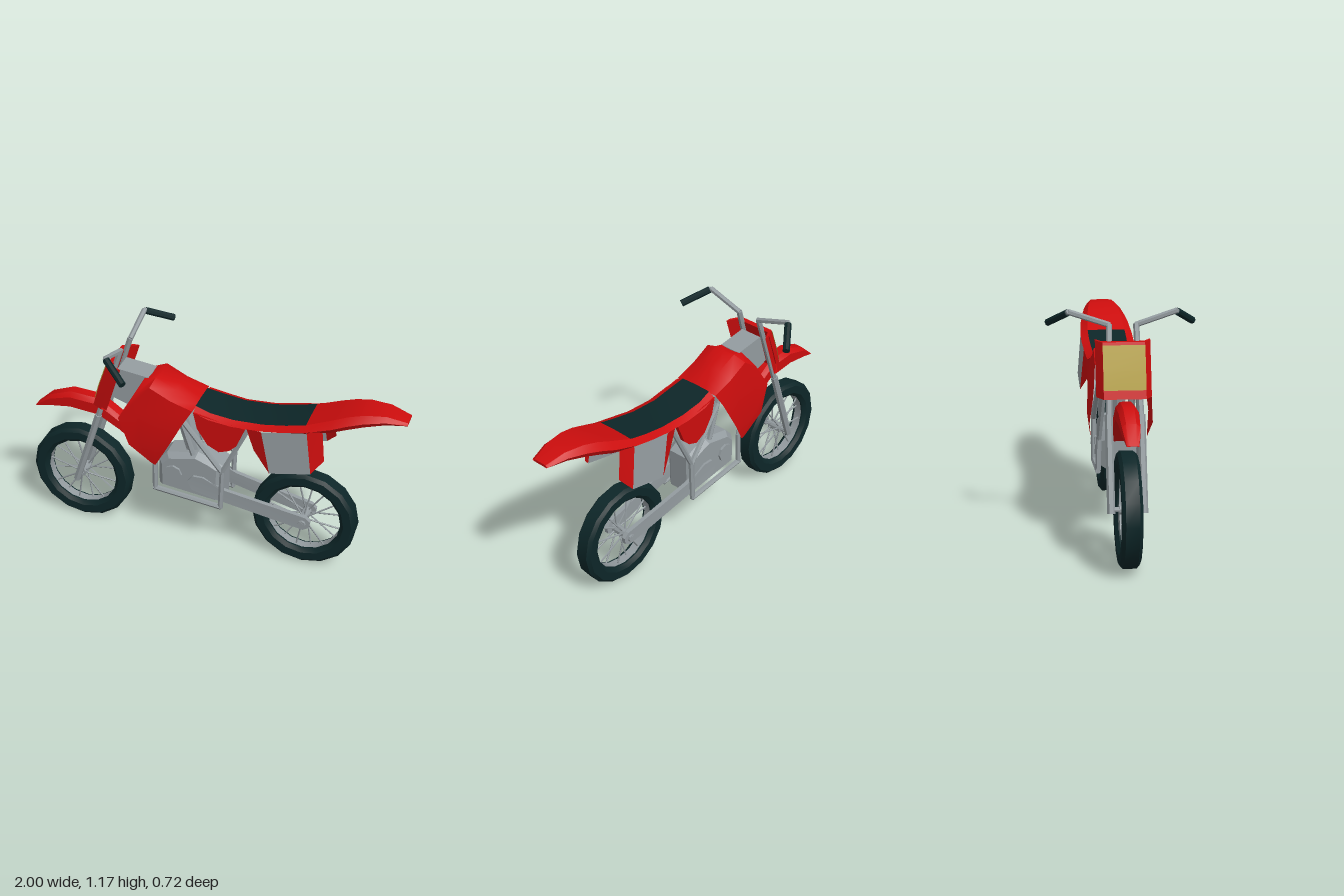
import * as THREE from 'three';
import { toCreasedNormals } from 'three/addons/utils/BufferGeometryUtils.js';

const mat = (name, color) => {
  const m = new THREE.MeshStandardMaterial({ color, side: THREE.DoubleSide });
  m.name = name;
  return m;
};

export function createModel() {
  const red = mat('red plastic', 0xcc0d0d);
  const grey = mat('grey metal', 0x939b9f);
  const dark = mat('dark rubber', 0x0d2628);
  const yellow = mat('yellow plate', 0xb39e3c);
  const root = new THREE.Group();
  root.name = 'dirtBike';

  const add = (name, geo, m, parent = root) => {
    const mesh = new THREE.Mesh(geo, m);
    mesh.name = name;
    parent.add(mesh);
    return mesh;
  };

  // Round bar between two points
  const bar = (name, a, b, r, m = grey, sides = 6, parent = root) => {
    const p = new THREE.Vector3(...a), q = new THREE.Vector3(...b);
    const d = q.clone().sub(p);
    const geo = toCreasedNormals(new THREE.CylinderGeometry(r, r, d.length(), sides), 0.6);
    const mesh = add(name, geo, m, parent);
    mesh.position.copy(p).add(q).multiplyScalar(0.5);
    mesh.quaternion.setFromUnitVectors(new THREE.Vector3(0, 1, 0), d.normalize());
    return mesh;
  };

  // Surface through rows of points, all rows the same length
  const skin = (name, rows, m, crease = 0.6) => {
    const n = rows[0].length, index = [];
    for (let i = 0; i < rows.length - 1; i++) {
      for (let j = 0; j < n - 1; j++) {
        const a = i * n + j, b = a + n;
        index.push(a, b, a + 1, b, b + 1, a + 1);
      }
    }
    const geo = new THREE.BufferGeometry();
    geo.setAttribute('position', new THREE.Float32BufferAttribute(rows.flat(2), 3));
    geo.setIndex(index);
    return add(name, toCreasedNormals(geo, crease), m);
  };

  // Side outline extruded between two z values
  const slab = (name, pts, z0, z1, m) => {
    const shape = new THREE.Shape(pts.map(p => new THREE.Vector2(...p)));
    const geo = new THREE.ExtrudeGeometry(shape, { depth: z1 - z0, bevelEnabled: false });
    return add(name, geo.translate(0, 0, z0), m);
  };

  // Wheels: tire, rim, hub and spokes
  const tirePts = [[.195, -.03], [.215, -.047], [.258, -.047], [.275, -.032], [.275, .032],
    [.258, .047], [.215, .047], [.195, .03], [.195, -.03]].map(p => new THREE.Vector2(...p));
  const tireGeo = toCreasedNormals(new THREE.LatheGeometry(tirePts, 16).rotateX(Math.PI / 2), 0.6);
  for (const [name, x] of [['frontWheel', -.72], ['rearWheel', .51]]) {
    const wheel = new THREE.Group();
    wheel.name = name;
    wheel.position.set(x, .28, 0);
    root.add(wheel);
    add('tire', tireGeo, dark, wheel);
    add('rim', new THREE.CylinderGeometry(.194, .194, .045, 16, 1, true).rotateX(Math.PI / 2), grey, wheel);
    bar('hub', [0, 0, -.04], [0, 0, .04], .025, grey, 10, wheel);
    bar('axle', [0, 0, -.088], [0, 0, .088], .013, grey, 8, wheel);
    for (let i = 0; i < 16; i++) {
      const a = (i + .5) * Math.PI / 8, z = i % 2 ? .025 : -.025;
      bar('spoke', [.02 * Math.cos(a), .02 * Math.sin(a), z],
        [.197 * Math.cos(a), .197 * Math.sin(a), z * .3], .0045, grey, 5, wheel);
    }
  }

  // Front fender: arched shell with a closed underside
  const fender = [[-.965, .652, .647, .028], [-.88, .73, .675, .042], [-.76, .775, .695, .047],
    [-.60, .765, .68, .047], [-.48, .68, .61, .047], [-.42, .60, .555, .043], [-.378, .52, .515, .035]];
  skin('frontFender', fender.map(([x, t, b, w]) => [[x, b, w], [x, t - (t - b) * .3, w], [x, t, w * .55],
    [x, t, -w * .55], [x, t - (t - b) * .3, -w], [x, b, -w], [x, b + (t - b) * .4, 0], [x, b, w]]), red);

  // Front plate, swept along the fork angle
  const plateRow = (t, ox) => [[.13, .055], [.1, 0], [-.1, 0], [-.13, .055]]
    .map(([z, o]) => [-.6 + .085 * t + o + ox, .775 + .255 * t, z]);
  skin('frontPlate', [plateRow(0, 0), plateRow(.5, -.004), plateRow(1, 0), plateRow(1, .03),
    plateRow(0, .03), plateRow(0, 0)], red, .4);
  skin('numberPanel', [.16, .5, .95].map(t => plateRow(t, t === .5 ? -.008 : -.005).slice(1, 3)), yellow);

  // Headstock
  slab('headstock', [[-.53, .825], [-.40, .78], [-.30, .86], [-.31, .97], [-.475, .99]], -.06, .06, grey);

  // Tank and shrouds: strips from front edge to rear edge, mirrored over the centre
  const half = [
    [0, [-.31, .965], [-.26, .98], [-.16, .935], [-.05, .87]],
    [.06, [-.33, .965], [-.27, .98], [-.16, .932], [-.05, .87]],
    [.125, [-.37, .89], [-.28, .955], [-.17, .90], [-.055, .865]],
    [.14, [-.45, .75], [-.34, .80], [-.20, .81], [-.10, .79]],
    [.153, [-.39, .61], [-.33, .63], [-.25, .63], [-.19, .62]],
    [.14, [-.275, .515], [-.265, .51], [-.26, .508], [-.25, .51]],
  ];
  const strip = (h, s) => h.slice(1).map(([x, y]) => [x, y, h[0] * s]);
  skin('tank', [...half.slice(1).reverse().map(h => strip(h, -1)), ...half.map(h => strip(h, 1))], red, .8);

  // Seat and tail: x, top, bottom, half width
  const seat = [[-.05, .878, .842, .122], [.03, .858, .826, .135], [.15, .843, .812, .133],
    [.3, .85, .82, .135], [.42, .872, .842, .14], [.52, .897, .86, .14], [.65, .95, .89, .13],
    [.72, .978, .915, .118], [.8, .998, .94, .103], [.9, 1.002, .962, .08], [1, .975, .962, .05]];
  const lip = w => Math.min(.1, w * .72);
  skin('seatBody', seat.map(([x, t, b, w]) => {
    const side = s => [[x, t, s * lip(w)], [x, t - (t - b) * .55, s * w], [x, b, s * w * .85]];
    return [...side(1), ...side(-1).reverse()];
  }), red, .7);
  const top = ([x, t, , w]) => [lip(w), 0, -lip(w)].map(z => [x, t + (z ? 0 : .003), z]);
  skin('seatCushion', seat.slice(0, 6).map(top), dark);
  skin('tailTop', seat.slice(5).map(top), red);
  const [tx, tt, tb, tw] = seat[10];
  skin('tailEnd', [[[tx, tt, lip(tw)], [tx, tt, -lip(tw)]], [[tx, tb, tw * .85], [tx, tb, -tw * .85]]], red);

  // Engine block, bevelled towards its sides
  const block = [[-.265, .34], [.08, .30], [.085, .52], [.03, .55], [-.05, .578], [-.22, .54], [-.265, .49]];
  const ring = (z, k) => [...block, block[0]].map(([x, y]) => [-.09 + (x + .09) * k, .43 + (y - .43) * k, z]);
  skin('engine', [ring(-.088, .001), ring(-.088, .84), ring(-.055, 1), ring(.055, 1), ring(.088, .84),
    ring(.088, .001)], grey, .3);
  bar('cylinder', [-.08, .53, 0], [-.15, .78, 0], .045, grey, 8);

  for (const s of [1, -1]) {
    // Fork leg, handlebar and grip
    bar('forkLeg', [-.73, .262, s * .077], [-.585, .70, s * .077], .019);
    bar('forkTube', [-.6, .655, s * .076], [-.452, 1.105, s * .064], .015);
    bar('handlebar', [-.452, 1.1, s * .06], [-.45, 1.165, s * .255], .014);
    bar('handlebarEnd', [-.45, 1.165, s * .253], [-.42, 1.147, s * .277], .014);
    bar('grip', [-.445, 1.16, s * .258], [-.325, 1.095, s * .347], .018, dark, 8);

    // Frame cradle and struts
    const rails = [
      [[-.40, .80, .082], [-.27, .50, .1]], [[-.27, .51, .1], [-.27, .33, .105]],
      [[-.28, .338, .105], [.09, .293, .1]], [[.085, .29, .1], [.095, .52, .1]],
      [[.09, .51, .1], [.23, .81, .085]], [[.09, .52, .1], [-.12, .77, .085]],
      [[-.07, .57, .075], [-.14, .79, .075]],
    ];
    for (const [a, b] of rails) bar('frameTube', [a[0], a[1], a[2] * s], [b[0], b[1], b[2] * s], .014);

    // Swing arm, angled in towards the rear axle
    const arm = [[-.095, .415, .103], [-.065, .452, .102], [-.01, .452, .1], [.07, .405, .097], [.53, .315, .074],
      [.555, .29, .072], [.55, .255, .072], [.52, .237, .073], [.05, .335, .098], [-.07, .365, .102]];
    const face = d => [...arm, arm[0]].map(([x, y, z]) => [x, y, s * (z - d)]);
    const mid = d => Array.from({ length: 11 }, () => [.23, .345, s * (.0885 - d)]);
    skin('swingArm', [mid(0), face(0), face(.022), mid(.022)], grey, .4);
    bar('axleBolt', [.515, .278, s * .06], [.515, .278, s * .086], .02, grey, 8);
    bar('engineCover', [-.175, .44, s * .08], [-.175, .44, s * .1], .048, grey, 8);

    // Side flap under the seat
    const flap = [[-.05, .86], [-.03, .77], [.025, .685], [.085, .655], [.14, .675], [.175, .71], [.22, .82], [.1, .835]];
    slab('sideFlap', flap, s * .115 - .012, s * .115 + .012, red);

    // Rear side panel: flat centre with folded edges
    const cols = [[[.22, .825, .112], [.262, .70, .112]], [[.305, .83, .135], [.357, .607, .153]],
      [[.535, .875, .138], [.567, .652, .153]], [[.605, .905, .112], [.622, .72, .115]]]
      .map(c => c.map(([x, y, z]) => [x, y, z * s]));
    skin('panelFrontFold', cols.slice(0, 2), red);
    skin('sidePanel', cols.slice(1, 3), grey);
    skin('panelRearFold', cols.slice(2), red);
  }

  return root;
}
